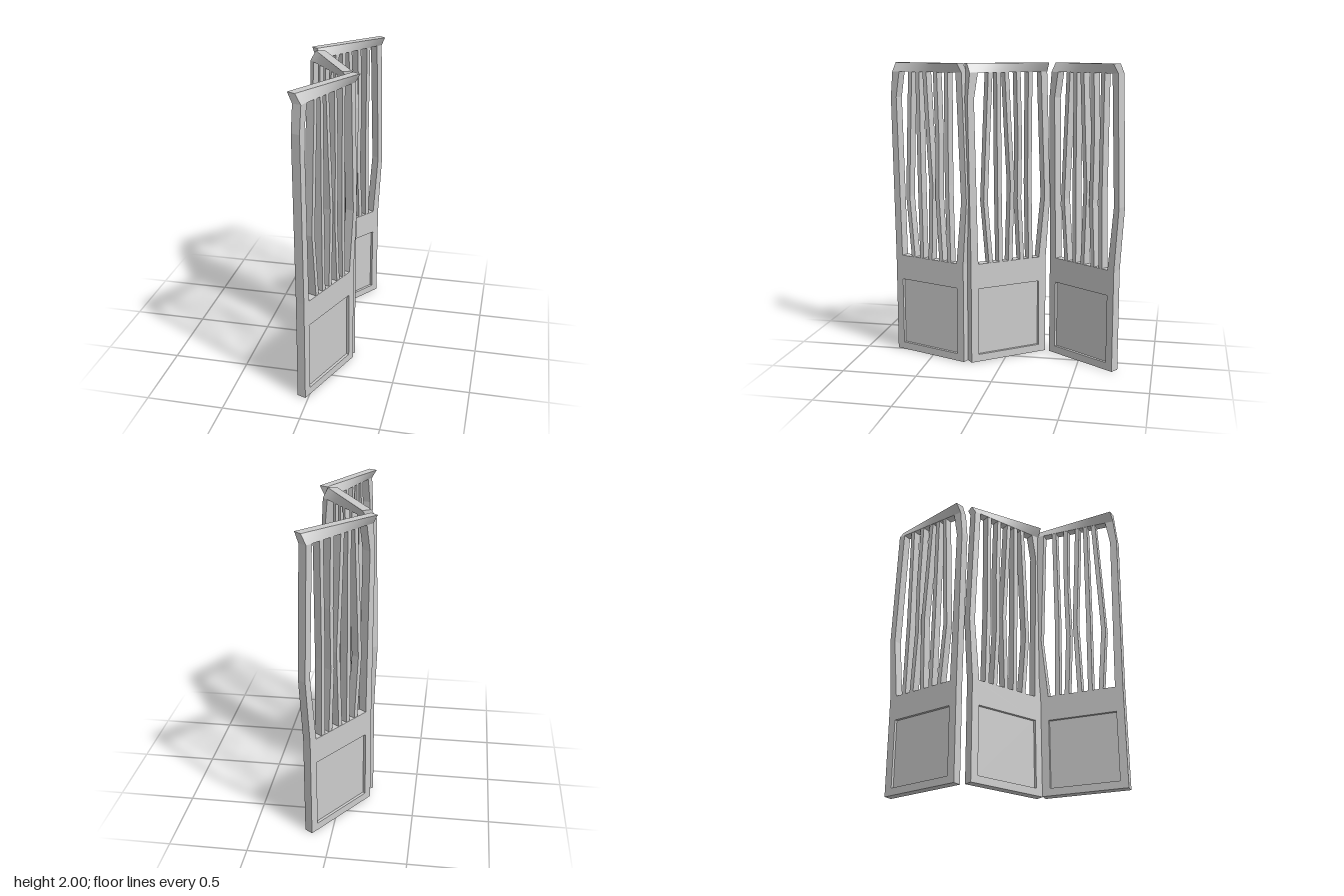
import * as THREE from 'three';

const material = new THREE.MeshStandardMaterial({ color: 0xcccccc, side: THREE.DoubleSide });
const T = 0.06;        // panel thickness
const HALF = 0.283;    // half panel width
const RAIL = 1.94;     // underside of the top rail
const SILL = 0.68;     // top of the solid base
const TWIST = THREE.MathUtils.degToRad(8);

const pts = (list) => list.map(([x, y]) => new THREE.Vector2(x, y));

function plate(name, outline, depth, holes = []) {
  const shape = new THREE.Shape(pts(outline));
  holes.forEach((h) => shape.holes.push(new THREE.Path(pts(h))));
  const geo = new THREE.ExtrudeGeometry(shape, { depth, bevelEnabled: false });
  geo.translate(0, 0, -depth / 2);
  const mesh = new THREE.Mesh(geo, material);
  mesh.name = name;
  return mesh;
}

// Slat following a bent centre line, given as [x, y] points
function slat(line, width) {
  const left = line.map(([x, y]) => [x - width / 2, y]);
  const right = line.map(([x, y]) => [x + width / 2, y]).reverse();
  return plate('slat', [...right.reverse(), ...left.reverse()], T * 0.92);
}

function createPanel(name) {
  const panel = new THREE.Group();
  panel.name = name;

  // Base and bowed stiles, cut as one piece with an open window above
  const frame = [
    [-HALF, 0], [HALF, 0], [HALF, SILL], [0.3, 1.77], [HALF, RAIL],
    [0.225, RAIL], [0.254, 1.77], [0.23, SILL],
    [-0.23, SILL], [-0.272, 1.1], [-0.237, RAIL],
    [-HALF, RAIL], [-0.314, 1.1], [-HALF, SILL],
  ];
  const recess = [[-0.23, 0.05], [-0.23, 0.51], [0.23, 0.51], [0.23, 0.05]];
  panel.add(plate('frame', frame, T, [recess]));

  // Thin board set back from both faces
  const board = new THREE.Mesh(new THREE.BoxGeometry(0.46, 0.46, 0.022), material);
  board.name = 'recessedBoard';
  board.position.y = 0.28;
  panel.add(board);

  // Top rail, its upper face turned against the lower one
  const railGeo = new THREE.BoxGeometry(HALF * 2, 2 - RAIL, T, 8, 1, 1);
  railGeo.translate(0, (2 + RAIL) / 2, 0);
  const p = railGeo.attributes.position;
  const v = new THREE.Vector3();
  const up = new THREE.Vector3(0, 1, 0);
  for (let i = 0; i < p.count; i++) {
    v.fromBufferAttribute(p, i);
    v.applyAxisAngle(up, (-TWIST * (v.y - RAIL)) / (2 - RAIL));
    p.setXYZ(i, v.x, v.y, v.z);
  }
  railGeo.computeVertexNormals();
  const rail = new THREE.Mesh(railGeo, material);
  rail.name = 'topRail';
  panel.add(rail);

  // Five irregular slats
  const slats = [
    [[0.135, SILL], [0.172, 1.1], [0.155, 1.5], [0.135, RAIL]],
    [[0.062, SILL], [0.07, 1.2], [0.075, RAIL]],
    [[-0.01, SILL], [-0.026, 1.2], [-0.005, 1.55], [0.016, RAIL]],
    [[-0.1, SILL], [-0.077, 1.1], [-0.082, 1.5], [-0.07, RAIL]],
    [[-0.166, SILL], [-0.155, 1.2], [-0.158, RAIL]],
  ];
  slats.forEach((line) => panel.add(slat(line, 0.03)));
  return panel;
}

export function createModel() {
  const screen = new THREE.Group();
  screen.name = 'foldingScreen';

  // Three identical panels in a zigzag: name, x, z, heading in degrees
  const layout = [
    ['frontPanel', 0.056, 0.51, 111],
    ['middlePanel', -0.01, -0.003, 52],
    ['backPanel', -0.012, -0.525, 125],
  ];
  layout.forEach(([name, x, z, heading]) => {
    const panel = createPanel(name);
    panel.position.set(x, 0, z);
    panel.rotation.y = -THREE.MathUtils.degToRad(heading);
    screen.add(panel);
  });
  return screen;
}
